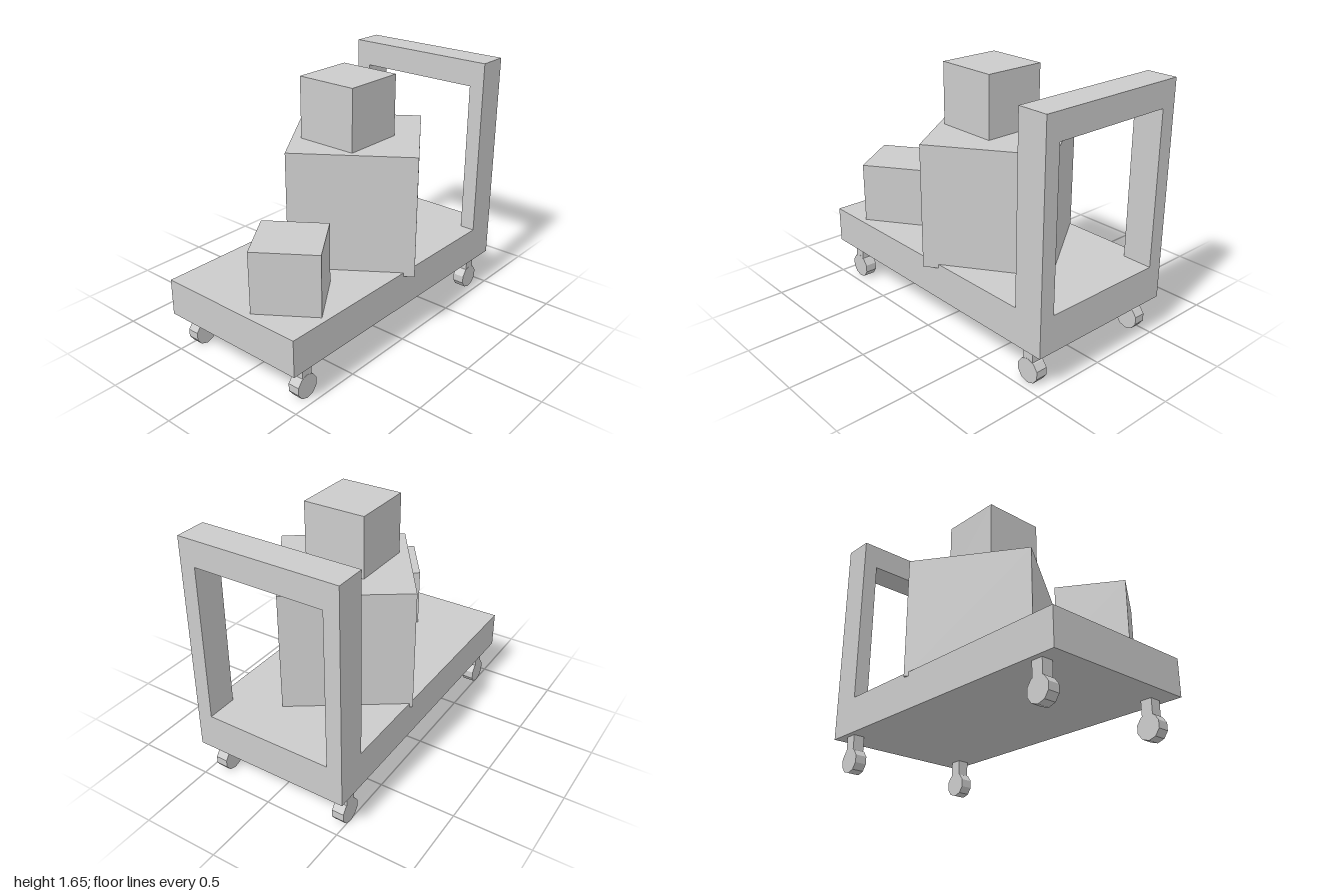
import * as THREE from 'three';

export function createModel() {
  const cart = new THREE.Group();
  cart.name = 'platformCart';
  const material = new THREE.MeshStandardMaterial({ color: 0xcccccc, flatShading: true });

  function add(name, geometry, x, y, z, turn = 0, parent = cart) {
    const mesh = new THREE.Mesh(geometry, material);
    mesh.name = name;
    mesh.position.set(x, y, z);
    mesh.rotation.y = turn;
    parent.add(mesh);
    return mesh;
  }

  // Flat deck, slightly offset towards the back
  const back = -0.54, front = 0.495, deckBottom = 0.245, deckTop = 0.485;
  add('deck', new THREE.BoxGeometry(2, deckTop - deckBottom, front - back),
    0, (deckBottom + deckTop) / 2, (front + back) / 2);

  // Upright push handle: an arch drawn in z and y, extruded along x
  const arch = new THREE.Shape([
    [back, deckTop], [back + 0.1, deckTop], [back + 0.1, 1.49], [front - 0.1, 1.49],
    [front - 0.1, deckTop], [front, deckTop], [front, 1.655], [back, 1.655],
  ].map(([z, y]) => new THREE.Vector2(z, y)));
  const archGeometry = new THREE.ExtrudeGeometry(arch, { depth: 0.2, bevelEnabled: false });
  archGeometry.rotateY(-Math.PI / 2);
  add('handle', archGeometry, 1, 0, 0);

  // Cube cargo; the large crate sinks a little into the deck
  function crate(name, size, x, top, z, turn) {
    add(name, new THREE.BoxGeometry(size, size, size), x, top - size / 2, z, turn);
  }
  crate('largeCrate', 0.796, 0.137, 1.255, -0.003, 0.607);
  crate('smallCrate', 0.413, -0.67, 0.882, 0.169, 0.607);
  crate('topCrate', 0.413, 0.047, 1.652, -0.003, 0);

  // Four casters: square stem and ten-sided wheel with a corner at the bottom
  const wheel = new THREE.CylinderGeometry(0.08, 0.08, 0.078, 10).rotateX(Math.PI / 2);
  const stem = new THREE.BoxGeometry(0.076, 0.11, 0.076);
  for (const x of [-0.844, 0.86]) {
    for (const z of [0.41, -0.466]) {
      const caster = new THREE.Group();
      caster.name = 'caster';
      caster.position.set(x, 0, z);
      add('wheel', wheel, 0, 0.08, 0, 0, caster);
      add('stem', stem, 0, 0.2, -0.001, 0, caster);
      cart.add(caster);
    }
  }
  return cart;
}
